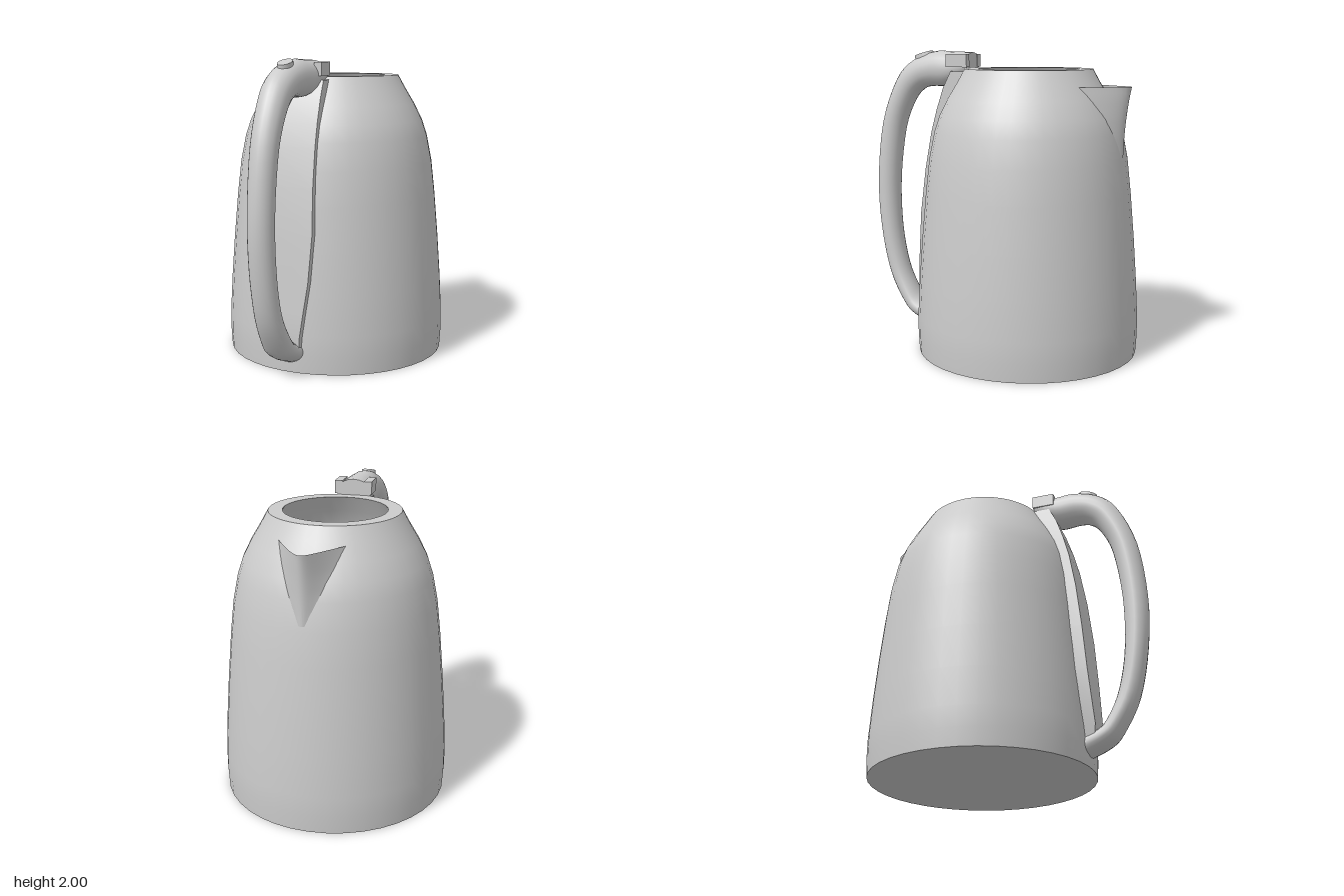
import * as THREE from 'three';
import { toCreasedNormals } from 'three/addons/utils/BufferGeometryUtils.js';

const V = (x, y, z) => new THREE.Vector3(x, y, z);
const lerp = THREE.MathUtils.lerp;
const AXIS_Z = -0.205;

// Outer wall of the jug as [radius, height]
const WALL = [[0.735, 0], [0.742, 0.12], [0.742, 0.25], [0.728, 0.5], [0.707, 0.78], [0.68, 1.08],
  [0.655, 1.3], [0.62, 1.475], [0.585, 1.58], [0.53, 1.69], [0.47, 1.79], [0.42, 1.88]];
const CAVITY = [[0.33, 1.88], [0.4, 1.77], [0.47, 1.64], [0.53, 1.45], [0.56, 1.25], [0.59, 0.9],
  [0.59, 0.6], [0.55, 0.38], [0.45, 0.22], [0.25, 0.12], [0, 0.09]];

function wallRadius(y) {
  for (let i = 1; i < WALL.length; i++) {
    const [r0, y0] = WALL[i - 1], [r1, y1] = WALL[i];
    if (y <= y1) return lerp(r0, r1, (y - y0) / (y1 - y0));
  }
  return 0.42;
}

// Skin over rows of points; closed rows wrap around
function loft(rows, closed = true) {
  const n = rows[0].length, index = [];
  for (let i = 0; i < rows.length - 1; i++) {
    for (let j = 0; j < (closed ? n : n - 1); j++) {
      const a = i * n + j, b = i * n + (j + 1) % n;
      index.push(a, b, a + n, b, b + n, a + n);
    }
  }
  const geo = new THREE.BufferGeometry().setFromPoints(rows.flat());
  geo.setIndex(index);
  return toCreasedNormals(geo, 0.8);
}

const capRow = (row) => {
  const c = row.reduce((s, p) => s.add(p), V(0, 0, 0)).divideScalar(row.length);
  return row.map(() => c.clone());
};

export function createModel() {
  const model = new THREE.Group();
  const grey = new THREE.MeshStandardMaterial({ color: 0xcccccc });
  grey.name = 'grey';
  const greySheet = new THREE.MeshStandardMaterial({ color: 0xcccccc, side: THREE.DoubleSide });
  greySheet.name = 'grey sheet';
  const add = (name, geo, mat = grey) => {
    const mesh = new THREE.Mesh(geo, mat);
    mesh.name = name;
    model.add(mesh);
    return mesh;
  };

  // Jug: separate turned surfaces keep the rim and base edges sharp
  const turned = {
    outerWall: WALL,
    rim: [[0.42, 1.88], [0.33, 1.88]],
    cavity: CAVITY,
    base: [[0, 0], [0.735, 0]],
  };
  for (const [name, pts] of Object.entries(turned)) {
    const geo = new THREE.LatheGeometry(pts.map(([r, y]) => new THREE.Vector2(r, y)), 40);
    add(name, geo).position.z = AXIS_Z;
  }

  // Handle stations: centre x, half width, outer z, outer y, inner z, inner y
  const stations = [
    [-0.025, 0.115, 0.2, 1.985, 0.2, 1.82], [-0.03, 0.113, 0.35, 1.99, 0.36, 1.76],
    [-0.045, 0.105, 0.48, 1.99, 0.5, 1.755], [-0.06, 0.1, 0.65, 1.93, 0.58, 1.73],
    [-0.07, 0.095, 0.78, 1.8, 0.655, 1.65], [-0.08, 0.088, 0.9, 1.5, 0.735, 1.46],
    [-0.085, 0.085, 0.948, 1.1, 0.785, 1.1], [-0.085, 0.085, 0.93, 0.75, 0.78, 0.75],
    [-0.08, 0.087, 0.86, 0.42, 0.73, 0.48], [-0.07, 0.1, 0.74, 0.2, 0.655, 0.31],
    [-0.065, 0.11, 0.65, 0.12, 0.59, 0.235], [-0.06, 0.105, 0.5, 0.055, 0.5, 0.21],
  ];
  const curve = (f) => new THREE.CatmullRomCurve3(stations.map(f), false, 'catmullrom', 0.5);
  const outer = curve((s) => V(s[0], s[3], s[2]));
  const inner = curve((s) => V(s[0], s[5], s[4]));
  const width = curve((s) => V(s[1], 0, 0));
  const rings = [];
  for (let i = 0; i <= 44; i++) {
    const o = outer.getPoint(i / 44), n = inner.getPoint(i / 44), w = width.getPoint(i / 44).x;
    const mid = o.clone().add(n).multiplyScalar(0.5), half = o.clone().sub(mid);
    rings.push(Array.from({ length: 20 }, (_, j) => {
      const a = j / 20 * Math.PI * 2;
      return mid.clone().addScaledVector(half, Math.sin(a)).add(V(w * Math.cos(a), 0, 0));
    }));
  }
  add('handle', loft([capRow(rings[0]), ...rings]));

  // Backing strip between handle and jug: y, left x, right x, front z
  const strip = [[1.86, -0.14, 0.1, 0.31], [1.75, -0.155, 0.1, 0.365], [1.6, -0.17, 0.098, 0.415],
    [1.45, -0.18, 0.098, 0.455], [1.2, -0.2, 0.1, 0.5], [0.9, -0.213, 0.107, 0.535],
    [0.6, -0.213, 0.088, 0.56], [0.4, -0.195, 0.06, 0.577], [0.25, -0.172, 0.04, 0.588],
    [0.14, -0.15, 0.03, 0.575]].map(([y, l, r, z]) => {
    const back = AXIS_Z + wallRadius(y) - 0.06;
    return [V(r, y, back), V(r, y, z), V(l, y, z), V(l, y, back)];
  });
  add('backingStrip', loft([capRow(strip[0]), ...strip, capRow(strip.at(-1))]));

  // Hinge blocks either side of the handle's top end
  for (const x of [-0.122, 0.075]) {
    add('hingeBlock', new THREE.BoxGeometry(0.052, 0.085, 0.15)).position.set(x, 1.93, 0.27);
  }

  // Oval button on the bend of the handle
  const button = add('button', toCreasedNormals(new THREE.CylinderGeometry(0.045, 0.05, 0.05, 20), 0.6));
  button.scale.z = 1.5;
  button.rotation.x = 0.28;
  button.position.set(-0.05, 1.953, 0.565);

  // Spout: open V-shaped lip narrowing down the wall
  const spout = [];
  for (let i = 0; i <= 12; i++) {
    const t = i / 12, y = lerp(1.775, 1.33, t), r = wallRadius(y) - 0.01;
    const left = lerp(-0.18, 0.01, t), right = lerp(0.255, 0.08, t);
    const wallZ = (x) => AXIS_Z - Math.sqrt(r * r - x * x);
    const tip = -0.855 - 0.045 * (1 - t) ** 2;
    const e = lerp(0.04, 0.3, t);
    spout.push(Array.from({ length: 21 }, (_, j) => {
      const u = j / 10 - 1;
      const k = (Math.sqrt(1 + e) - Math.sqrt(u * u + e)) / (Math.sqrt(1 + e) - Math.sqrt(e));
      const base = lerp(wallZ(left), wallZ(right), j / 20);
      return V(lerp(left, right, j / 20), y, lerp(base, tip, k));
    }));
  }
  add('spout', loft(spout, false), greySheet);

  return model;
}
